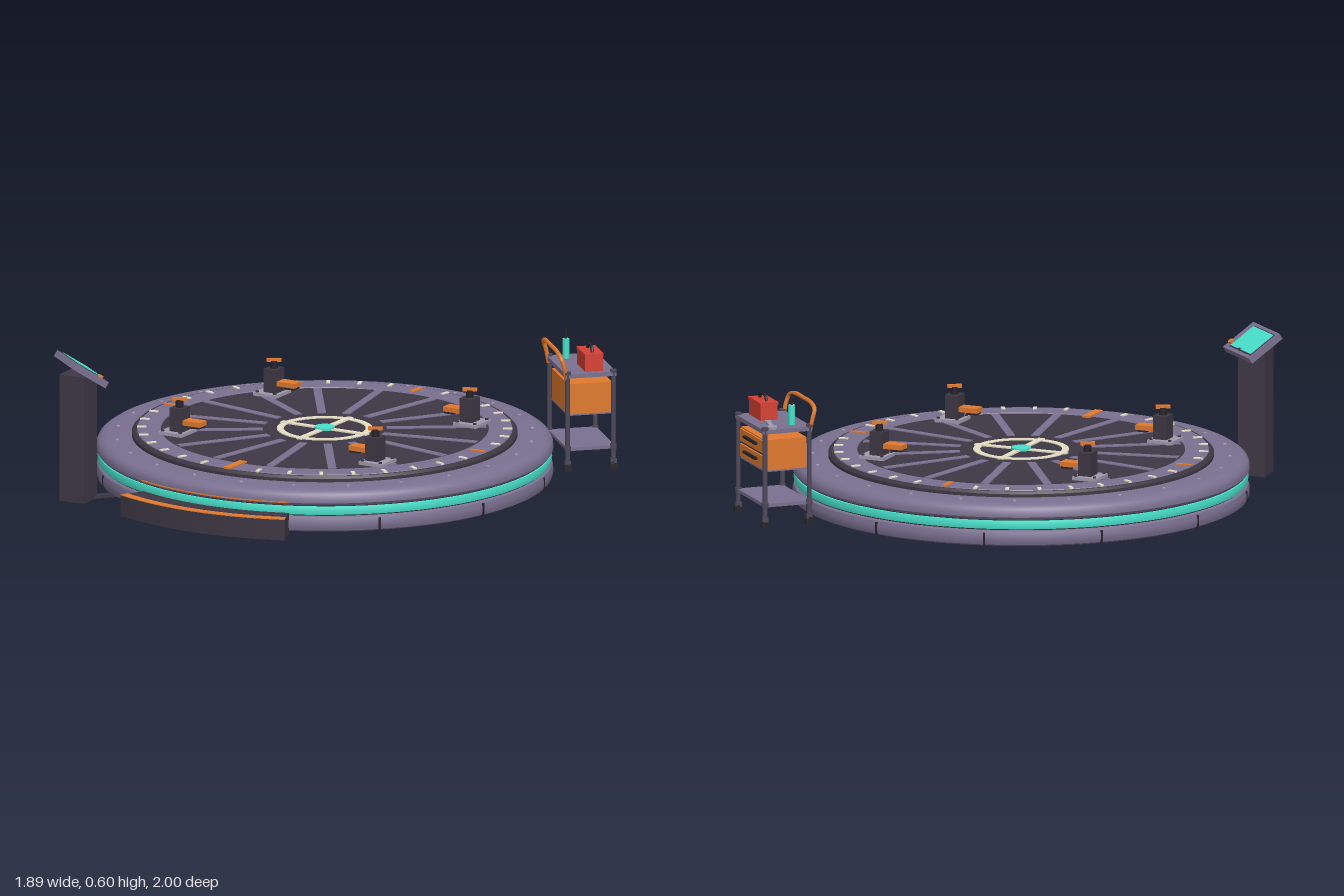
import * as THREE from 'three';
import { toCreasedNormals } from 'three/addons/utils/BufferGeometryUtils.js';

const material = (name, color) => {
  const m = new THREE.MeshStandardMaterial({ color });
  m.name = name;
  return m;
};

export function createModel() {
  const purple = material('purple paint', 0x7a7090);
  const dark = material('dark plate', 0x3d3743);
  const black = material('black rubber', 0x262329);
  const teal = material('teal glow', 0x48e2cc);
  const orange = material('orange paint', 0xdf792e);
  const cream = material('cream marking', 0xe6dec6);
  const steel = material('light steel', 0xa09aae);
  const frame = material('cart frame', 0x4d4858);
  const red = material('red paint', 0xd64034);

  // Helpers: every part is placed in its parent group
  const add = (parent, name, geo, mat, x = 0, y = 0, z = 0) => {
    const mesh = new THREE.Mesh(geo, mat);
    mesh.name = name;
    mesh.position.set(x, y, z);
    parent.add(mesh);
    return mesh;
  };
  const box = (p, name, mat, w, h, d, x, y, z) => add(p, name, new THREE.BoxGeometry(w, h, d), mat, x, y, z);
  const cyl = (p, name, mat, r, h, x, y, z, seg = 16) =>
    add(p, name, new THREE.CylinderGeometry(r, r, h, seg), mat, x, y, z);
  const lathe = (p, name, mat, pts) => add(p, name, toCreasedNormals(
    new THREE.LatheGeometry(pts.map(q => new THREE.Vector2(...q)), 96), 0.6), mat);
  const tube = (p, name, mat, pts, r, seg) => add(p, name, new THREE.TubeGeometry(
    new THREE.CatmullRomCurve3(pts.map(q => new THREE.Vector3(...q))), seg, r, 8), mat);
  const group = (parent, name, x = 0, y = 0, z = 0, turn = 0) => {
    const g = new THREE.Group();
    g.name = name;
    g.position.set(x, y, z);
    g.rotation.y = turn;
    parent.add(g);
    return g;
  };
  // Curved slab around the centre, opening towards +z
  const sector = (p, name, mat, r0, r1, half, h, y) => {
    const s = new THREE.Shape(), mid = -Math.PI / 2;
    s.absarc(0, 0, r1, mid - half, mid + half, false);
    s.absarc(0, 0, r0, mid + half, mid - half, true);
    const geo = new THREE.ExtrudeGeometry(s, { depth: h, bevelEnabled: false, curveSegments: 24 });
    return add(p, name, geo.rotateX(-Math.PI / 2), mat, 0, y, 0);
  };
  // Repeat a part around the centre
  const ring = (p, name, count, start, build) => {
    for (let i = 0; i < count; i++) build(group(p, name, 0, 0, 0, start + i * 2 * Math.PI / count), i);
  };

  const model = new THREE.Group();
  model.name = 'turntable workstation';
  const root = group(model, 'workstation', -0.015, 0, -0.042);

  // Fixed drum
  const base = group(root, 'base');
  lathe(base, 'lowerRing', purple, [[0, 0.006], [0.905, 0.006], [0.925, 0.015], [0.93, 0.03], [0.93, 0.05], [0.925, 0.068], [0.91, 0.078], [0.88, 0.078]]);
  lathe(base, 'groove', black, [[0.915, 0.07], [0.915, 0.125]]);
  lathe(base, 'lightBand', teal, [[0.9, 0.078], [0.922, 0.08], [0.926, 0.097], [0.922, 0.114], [0.9, 0.116]]);
  lathe(base, 'upperRing', purple, [[0.9, 0.117], [0.922, 0.119], [0.93, 0.13], [0.93, 0.147], [0.922, 0.164], [0.905, 0.176], [0.88, 0.182], [0.77, 0.182]]);
  ring(base, 'seam', 12, Math.PI / 12, g => box(g, 'seamStrip', black, 0.008, 0.055, 0.01, 0, 0.037, 0.927));
  ring(base, 'rimBolt', 24, Math.PI / 24, g => cyl(g, 'bolt', steel, 0.008, 0.008, 0, 0.182, 0.85, 8));

  // Rotating deck with its markings
  const deck = group(root, 'deck');
  lathe(deck, 'deckPlate', dark, [[0.785, 0.17], [0.785, 0.195], [0.775, 0.205], [0, 0.205]]);
  lathe(deck, 'deckBand', purple, [[0.765, 0.204], [0.763, 0.208], [0.668, 0.208], [0.666, 0.204]]);
  ring(deck, 'spoke', 16, Math.PI / 16, g => box(g, 'spokeStrip', purple, 0.034, 0.006, 0.405, 0, 0.2055, 0.455));
  ring(deck, 'tick', 36, 0, (g, i) => {
    if (i === 0) box(g, 'frontMark', orange, 0.035, 0.008, 0.13, 0, 0.2085, 0.705);
    else if (i === 18) box(g, 'backMark', orange, 0.022, 0.008, 0.08, 0, 0.2085, 0.722);
    else if (i % 9 === 0) box(g, 'sideMark', orange, 0.016, 0.008, 0.07, 0, 0.2085, 0.727);
    else box(g, 'tickMark', cream, 0.015, 0.008, 0.038, 0, 0.2085, 0.745);
  });
  lathe(deck, 'centreRing', cream, [[0.195, 0.204], [0.195, 0.209], [0.167, 0.209], [0.167, 0.204]]);
  for (const turn of [0, Math.PI / 2])
    box(deck, 'crossBar', cream, 0.41, 0.006, 0.027, 0, 0.2075, 0).rotation.y = turn;
  cyl(deck, 'hub', teal, 0.041, 0.012, 0, 0.21, 0, 24);

  // Four clamps, arms reaching inwards
  for (const sx of [-1, 1]) for (const sz of [-1, 1]) {
    const c = group(root, 'clamp', sx * 0.475, 0.205, sz * 0.372, sx > 0 ? Math.PI : 0);
    box(c, 'clampBase', steel, 0.108, 0.014, 0.118, 0, 0.007, 0);
    for (const bx of [-0.042, 0.042]) for (const bz of [-0.047, 0.047])
      cyl(c, 'clampBolt', dark, 0.007, 0.008, bx, 0.016, bz, 8);
    box(c, 'clampPost', dark, 0.058, 0.1, 0.066, 0.01, 0.062, 0);
    cyl(c, 'clampNeck', black, 0.016, 0.035, 0.01, 0.125, 0, 12);
    box(c, 'clampGrip', orange, 0.06, 0.013, 0.02, 0.01, 0.145, 0).rotation.y = 0.5;
    box(c, 'clampArm', orange, 0.085, 0.02, 0.054, 0.079, 0.054, 0);
    box(c, 'clampPad', black, 0.045, 0.008, 0.048, 0.095, 0.04, 0);
  }

  // Curved front step and the line on the drum above it
  const step = group(root, 'step');
  const half = 22 * Math.PI / 180;
  sector(step, 'stepBody', dark, 0.915, 1.04, half, 0.086, 0);
  sector(step, 'stepLip', orange, 1.002, 1.04, half, 0.003, 0.086);
  sector(step, 'drumLine', orange, 0.92, 0.936, half, 0.004, 0.13);

  // Control console, local +z pointing outwards
  const a = -39.5 * Math.PI / 180;
  const con = group(root, 'console', Math.sin(a) * 1.064, 0, Math.cos(a) * 1.064, a);
  box(con, 'pedestal', dark, 0.114, 0.53, 0.114, 0, 0.265, 0).rotation.y = Math.PI / 4;
  box(con, 'cableCover', dark, 0.035, 0.012, 0.17, 0, 0.006, -0.105);
  const panel = group(con, 'panel', 0, 0.545, -0.014);
  panel.rotation.x = -0.58;
  box(panel, 'panelBody', purple, 0.24, 0.028, 0.165, 0, 0, 0);
  box(panel, 'screenFrame', dark, 0.192, 0.004, 0.134, -0.013, 0.0145, 0);
  box(panel, 'screen', teal, 0.184, 0.004, 0.124, -0.013, 0.0165, 0);
  cyl(panel, 'panelButton', orange, 0.012, 0.012, 0.102, 0.018, -0.045, 12);

  // Tool cart, drawers facing outwards along local +z
  const b = 135 * Math.PI / 180;
  const cart = group(root, 'cart', Math.sin(b) * 1.076, 0, Math.cos(b) * 1.076, b);
  box(cart, 'topTray', purple, 0.326, 0.018, 0.212, 0, 0.404, 0);
  box(cart, 'lowerShelf', purple, 0.314, 0.014, 0.2, 0, 0.096, 0);
  for (const x of [-0.154, 0.154]) for (const z of [-0.096, 0.096]) {
    cyl(cart, 'cartLeg', frame, 0.01, 0.375, x, 0.228, z, 10);
    cyl(cart, 'legCap', frame, 0.014, 0.012, x, 0.415, z, 10);
    cyl(cart, 'legCollar', frame, 0.014, 0.02, x, 0.098, z, 10);
    box(cart, 'casterFork', frame, 0.018, 0.02, 0.024, x, 0.038, z);
    cyl(cart, 'caster', black, 0.018, 0.018, x, 0.018, z, 16).rotation.z = Math.PI / 2;
  }
  box(cart, 'cabinet', orange, 0.276, 0.128, 0.18, 0, 0.301, 0);
  box(cart, 'cabinetFloor', purple, 0.278, 0.006, 0.182, 0, 0.235, 0);
  box(cart, 'drawerGap', black, 0.276, 0.006, 0.006, 0, 0.303, 0.089);
  for (const y of [0.271, 0.334]) {
    box(cart, 'drawerFront', orange, 0.258, 0.052, 0.009, 0, y, 0.093);
    box(cart, 'drawerHandle', black, 0.14, 0.01, 0.014, 0, y + 0.004, 0.102);
  }
  tube(cart, 'pushHandle', orange, [
    [-0.15, 0.385, -0.1], [-0.154, 0.44, -0.11], [-0.147, 0.478, -0.122], [-0.1, 0.495, -0.127], [0, 0.498, -0.128],
    [0.1, 0.495, -0.127], [0.147, 0.478, -0.122], [0.154, 0.44, -0.11], [0.15, 0.385, -0.1]], 0.009, 48);

  // Tools on the tray
  box(cart, 'toolbox', red, 0.136, 0.062, 0.074, -0.073, 0.444, 0.018);
  box(cart, 'toolboxLid', red, 0.14, 0.012, 0.078, -0.073, 0.481, 0.018);
  tube(cart, 'toolboxHandle', black, [[-0.114, 0.483, 0.018], [-0.102, 0.504, 0.018], [-0.073, 0.511, 0.018],
    [-0.044, 0.504, 0.018], [-0.032, 0.483, 0.018]], 0.007, 20);
  cyl(cart, 'bottle', teal, 0.014, 0.082, 0.101, 0.454, -0.04);
  cyl(cart, 'bottleNozzle', black, 0.005, 0.045, 0.101, 0.517, -0.04, 8);
  const wrench = group(cart, 'wrench', 0.092, 0.417, 0.05, -0.2);
  box(wrench, 'wrenchShaft', steel, 0.11, 0.01, 0.018, 0, 0, 0);
  cyl(wrench, 'wrenchHead', steel, 0.021, 0.011, 0.052, 0, 0, 12);
  cyl(wrench, 'wrenchEnd', steel, 0.014, 0.011, -0.055, 0, 0, 12);

  return model;
}
